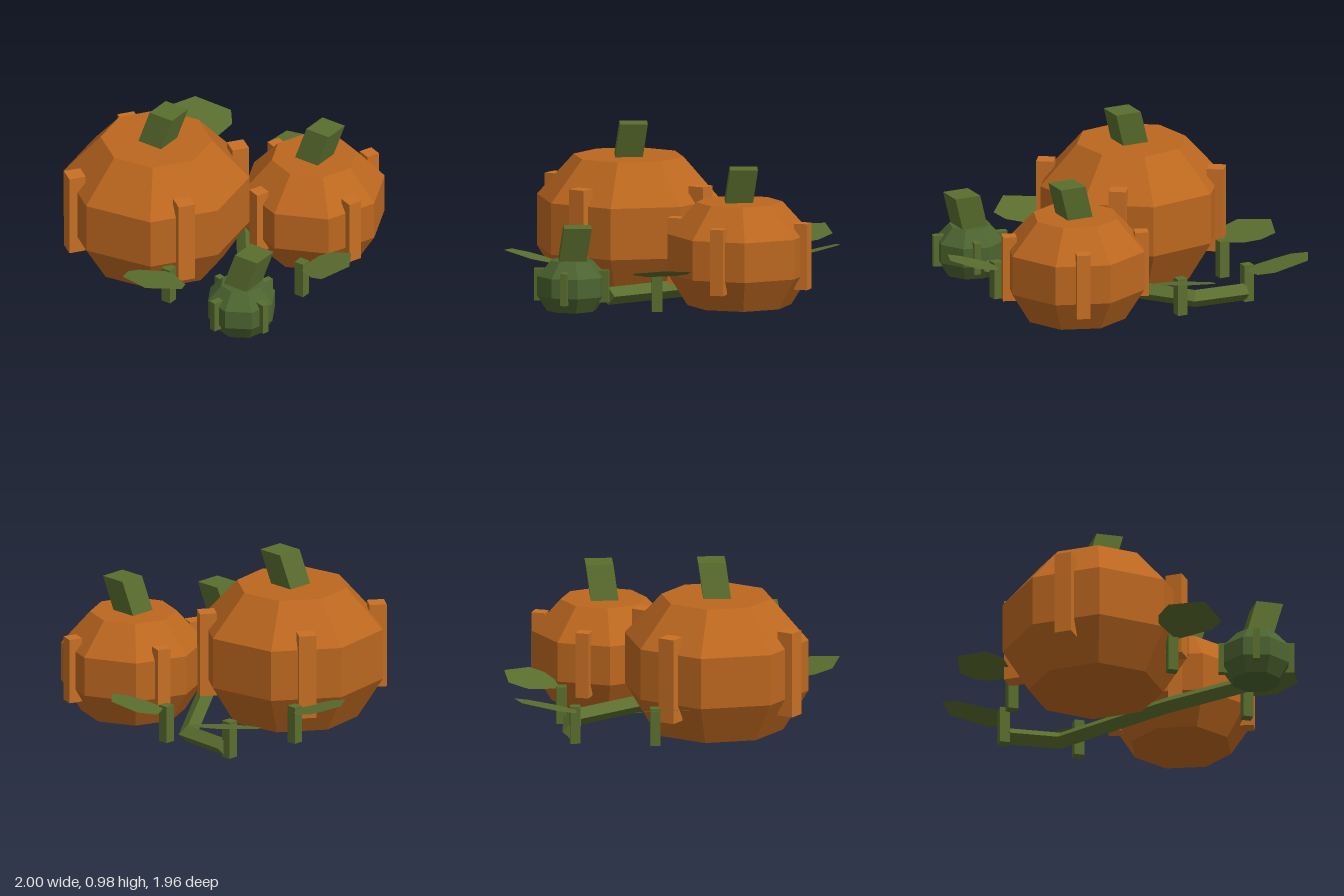
import * as THREE from 'three';

const mat = (name, color, side = THREE.FrontSide) => {
  const m = new THREE.MeshStandardMaterial({ color, side, flatShading: true });
  m.name = name;
  return m;
};

function part(name, geometry, material, x = 0, y = 0, z = 0) {
  const m = new THREE.Mesh(geometry, material);
  m.name = name;
  m.position.set(x, y, z);
  return m;
}

// Faceted gourd with four upright ribs, built at unit scale and sized by s
function gourd(name, x, z, s, turn, ribW, ribD, skin, ribMat) {
  const g = new THREE.Group();
  g.name = name;
  g.position.set(x, 0, z);
  g.rotation.y = -THREE.MathUtils.degToRad(turn);
  const R = 0.54 * s;
  const profile = [[0, 0], [0.39, 0], [0.54, 0.24], [0.54, 0.54], [0.324, 0.78], [0, 0.78]]
    .map(([r, y]) => new THREE.Vector2(r * s, y * s));
  g.add(part('body', new THREE.LatheGeometry(profile, 8), skin));
  for (let k = 0; k < 4; k++) {
    const a = Math.PI / 8 + k * Math.PI / 2;
    const d = R * Math.cos(Math.PI / 8);
    const rib = part('rib', new THREE.BoxGeometry(ribD, 0.5 * s, ribW), ribMat,
      d * Math.cos(a), 0.39 * s, d * Math.sin(a));
    rib.rotation.y = -a;
    g.add(rib);
  }
  return g;
}

// Square stem leaning to one side, flat on top
function stem(x, y, z, material) {
  const geo = new THREE.BoxGeometry(0.16, 0.2, 0.16).translate(0, 0.1, 0);
  const p = geo.attributes.position;
  for (let i = 0; i < p.count; i++) {
    const t = p.getY(i) / 0.2;
    p.setX(i, p.getX(i) + 0.06 * t);
    p.setZ(i, p.getZ(i) - 0.027 * t);
  }
  return part('stem', geo, material, x, y, z);
}

// Diamond-section vine with mitred bends
function vineGeometry(points, r) {
  const pts = points.map(p => new THREE.Vector3(...p));
  const up = new THREE.Vector3(0, 1, 0);
  const pos = [], idx = [];
  const dir = i => pts[i + 1].clone().sub(pts[i]).setY(0).normalize();
  const last = pts.length - 1;
  pts.forEach((p, i) => {
    const d0 = dir(Math.max(i - 1, 0)), d1 = dir(Math.min(i, last - 1));
    const mid = d0.clone().add(d1).normalize();
    const side = mid.clone().cross(up).multiplyScalar(r / mid.dot(d0));
    const rise = up.clone().multiplyScalar(r);
    for (const o of [rise, side, rise.clone().negate(), side.clone().negate()]) {
      pos.push(...p.clone().add(o).toArray());
    }
    if (i < last) {
      for (let j = 0; j < 4; j++) {
        const a = i * 4 + j, b = i * 4 + (j + 1) % 4;
        idx.push(a, b, a + 4, b, b + 4, a + 4);
      }
    }
  });
  const e = last * 4;
  idx.push(0, 2, 1, 0, 3, 2, e, e + 1, e + 2, e, e + 2, e + 3);
  const geo = new THREE.BufferGeometry();
  geo.setAttribute('position', new THREE.Float32BufferAttribute(pos, 3));
  geo.setIndex(idx);
  const flat = geo.toNonIndexed();
  flat.computeVertexNormals();
  return flat;
}

// Flat leaf outline (x, z) tilted upward away from its post
function leafGeometry(outline, px, pz) {
  const shape = new THREE.Shape(outline.map(([x, z]) => new THREE.Vector2(x - px, -(z - pz))));
  const geo = new THREE.ShapeGeometry(shape).rotateX(-Math.PI / 2);
  const c = new THREE.Vector2();
  outline.forEach(([x, z]) => c.add(new THREE.Vector2(x - px, z - pz)));
  c.normalize();
  const p = geo.attributes.position;
  for (let i = 0; i < p.count; i++) {
    p.setY(i, 0.2 + 0.25 * Math.max(0, p.getX(i) * c.x + p.getZ(i) * c.y));
  }
  geo.computeVertexNormals();
  return geo;
}

export function createModel() {
  const model = new THREE.Group();
  model.name = 'pumpkinPatch';
  const orange = mat('pumpkin orange', 0xbc671f);
  const ribOrange = mat('rib orange', 0xc87024);
  const green = mat('stem green', 0x5a6e2e);
  const unripe = mat('unripe green', 0x4c6430);
  const leafGreen = mat('leaf green', 0x5a6e2e, THREE.DoubleSide);

  // Gourds and their stems
  model.add(gourd('largePumpkin', -0.262, 0.238, 1, 12.9, 0.1, 0.1, orange, ribOrange));
  model.add(gourd('mediumPumpkin', 0.417, -0.382, 0.772, -2.3, 0.08, 0.08, orange, ribOrange));
  model.add(gourd('smallPumpkin', 0.604, 0.596, 0.375, -8, 0.04, 0.065, unripe, green));
  model.add(stem(-0.252, 0.78, 0.238, green));
  model.add(stem(0.422, 0.605, -0.378, green));
  model.add(stem(0.612, 0.295, 0.591, green));

  // Vine running between the gourds
  model.add(part('vine', vineGeometry(
    [[-0.57, 0.06, -0.62], [-0.25, 0.06, -0.6], [0.22, 0.062, 0.02], [0.6, 0.08, 0.385]], 0.052), green));

  // Leaves on short posts: post position, then leaf outline
  const leaves = [
    { at: [-0.588, -0.6], outline: [[-0.82, -0.92], [-0.59, -0.955], [-0.52, -0.87], [-0.535, -0.7],
      [-0.62, -0.6], [-0.76, -0.6], [-0.865, -0.615], [-0.93, -0.71]] },
    { at: [-0.128, -0.655], outline: [[-0.2, -0.965], [0, -0.98], [0.145, -0.825], [0.11, -0.74],
      [0.02, -0.687], [-0.11, -0.66], [-0.2, -0.78], [-0.24, -0.853]] },
    { at: [-0.663, -0.14], outline: [[-0.936, -0.28], [-0.84, -0.286], [-0.754, -0.238], [-0.68, -0.14],
      [-0.69, -0.06], [-0.77, 0.056], [-0.87, 0.067], [-1, -0.1]] },
    { at: [0.68, 0.104], outline: [[0.705, 0.1], [0.722, -0.013], [0.77, -0.067], [0.898, -0.083],
      [0.995, 0.072], [0.925, 0.249], [0.845, 0.243], [0.733, 0.174]] },
    { at: [0.096, 0.61], outline: [[0.12, 0.622], [0.3, 0.73], [0.337, 0.815], [0.192, 0.976],
      [-0.01, 0.922], [-0.043, 0.82], [-0.021, 0.746], [0.09, 0.644]] },
  ];
  for (const { at: [x, z], outline } of leaves) {
    model.add(part('leafPost', new THREE.BoxGeometry(0.06, 0.22, 0.06), green, x, 0.11, z));
    model.add(part('leaf', leafGeometry(outline, x, z), leafGreen, x, 0, z));
  }
  return model;
}
